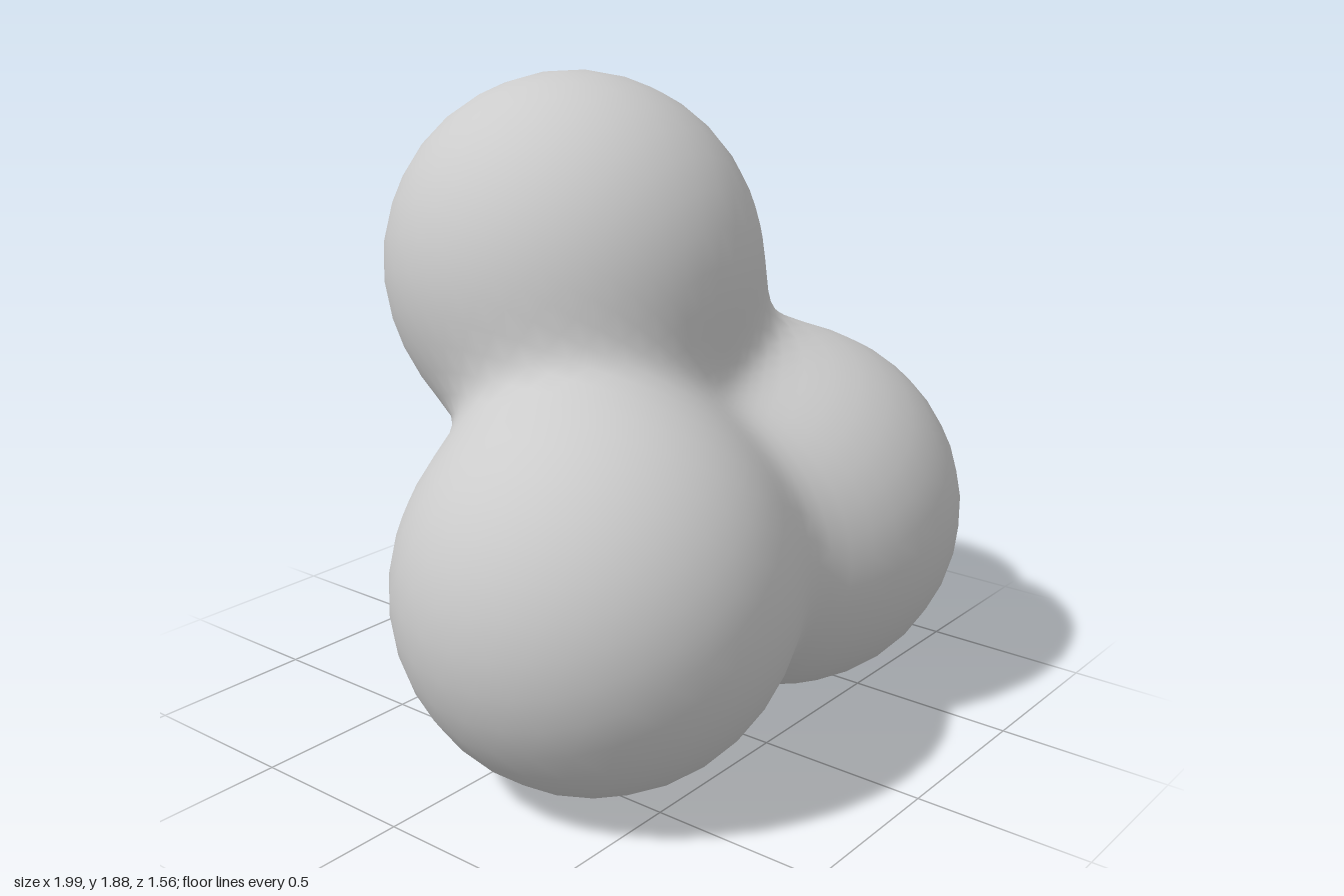
import * as THREE from 'three';

// Three equal balls melted together: one on top at the back, two below at the front
const RADIUS = 0.555;
const BLEND = 0.094;
const CENTRES = [
  new THREE.Vector3(0, 1.335, -0.225),
  new THREE.Vector3(-0.44, 0.56, 0.225),
  new THREE.Vector3(0.44, 0.56, 0.225),
];
const CORE = new THREE.Vector3(0, 0.85, 0.06);

// Smoothly blended distance to the balls, negative inside
function field(p) {
  let sum = 0;
  for (const c of CENTRES) sum += Math.exp(-(p.distanceTo(c) - RADIUS) / BLEND);
  return -BLEND * Math.log(sum);
}

// Outward direction of the blended surface
function fieldNormal(p) {
  const n = new THREE.Vector3();
  for (const c of CENTRES) {
    const d = p.distanceTo(c);
    n.addScaledVector(p.clone().sub(c).divideScalar(d), Math.exp(-(d - RADIUS) / BLEND));
  }
  return n.normalize();
}

// Walk in from outside towards the core until the surface is met
function surfacePoint(direction) {
  const p = new THREE.Vector3();
  let t = 1.6;
  for (let i = 0; i < 120; i++) {
    p.copy(CORE).addScaledVector(direction, t);
    const d = field(p);
    if (d < 1e-4 || t < 0.05) break;
    t -= d * 0.95;
  }
  return p;
}

export function createModel() {
  const group = new THREE.Group();
  group.name = 'mergedBalls';

  // Sphere pushed out onto the blended surface
  const geometry = new THREE.IcosahedronGeometry(1, 11);
  const position = geometry.attributes.position;
  const normal = geometry.attributes.normal;
  const v = new THREE.Vector3();
  for (let i = 0; i < position.count; i++) {
    const p = surfacePoint(v.fromBufferAttribute(position, i).normalize());
    const n = fieldNormal(p);
    position.setXYZ(i, p.x, p.y, p.z);
    normal.setXYZ(i, n.x, n.y, n.z);
  }

  const body = new THREE.Mesh(geometry, new THREE.MeshStandardMaterial({ color: 0xcccccc }));
  body.name = 'blendedBody';
  group.add(body);
  return group;
}
